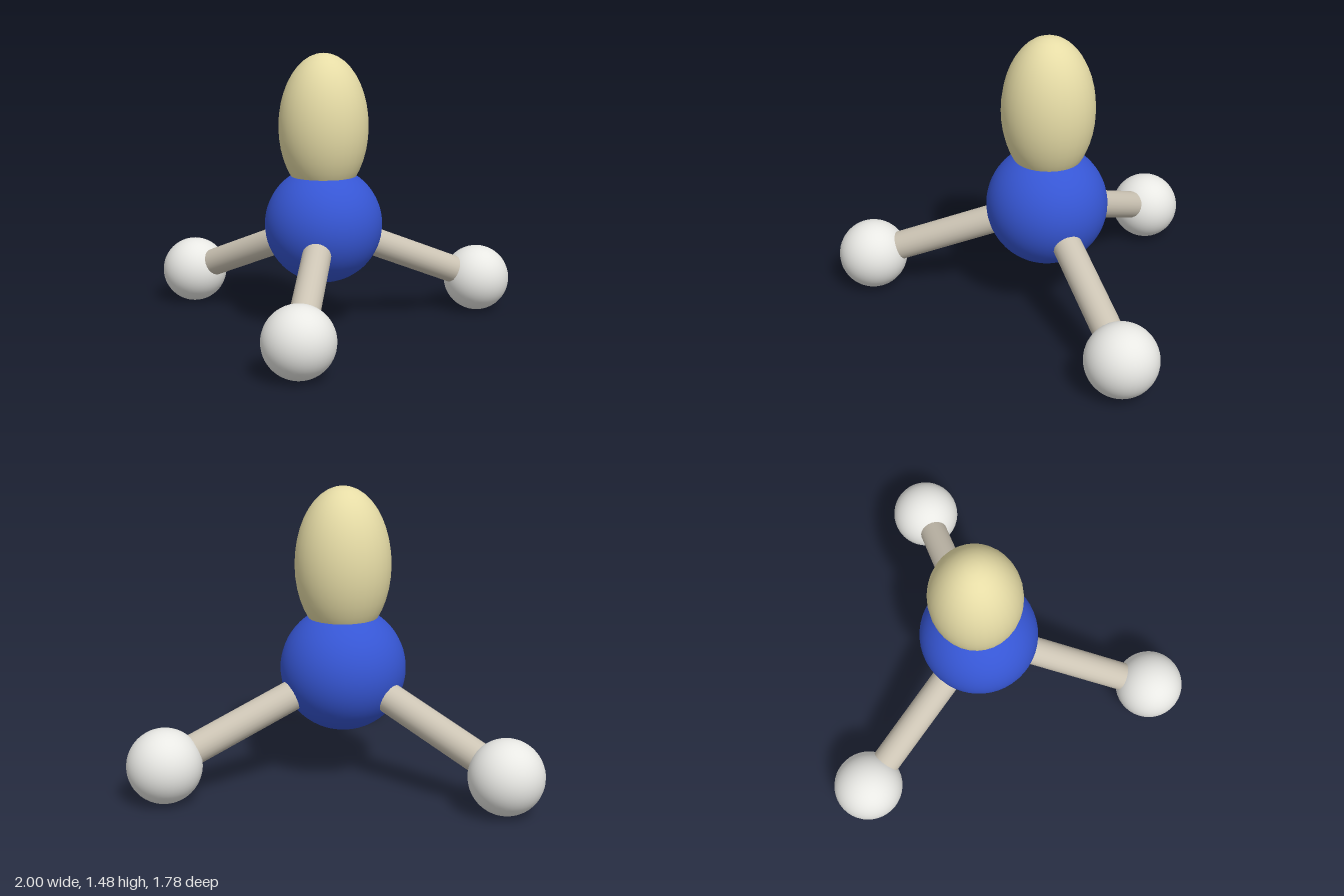
import * as THREE from 'three';

const material = (color) => new THREE.MeshStandardMaterial({ color });

export function createModel() {
  const model = new THREE.Group();
  model.name = 'pyramidalMolecule';

  const blue = material(0x3656d4);
  const white = material(0xe8e8e4);
  const beige = material(0xccc4b4);
  const cream = material(0xe6dca6);

  const add = (name, geometry, mat, position) => {
    const mesh = new THREE.Mesh(geometry, mat);
    mesh.name = name;
    mesh.position.copy(position);
    model.add(mesh);
    return mesh;
  };

  // Central atom
  const center = new THREE.Vector3(0, 0.567, -0.236);
  add('centralAtom', new THREE.SphereGeometry(0.315, 48, 32), blue, center);

  // Egg-shaped lone pair lobe rising out of the central atom
  const lobe = new THREE.SphereGeometry(1, 32, 20).scale(0.24, 0.388, 0.24);
  add('lonePairLobe', lobe, cream, new THREE.Vector3(0, 1.094, -0.236));

  // Three outer atoms with their bonds, spaced evenly around the vertical axis
  const outerGeometry = new THREE.SphereGeometry(0.183, 40, 28);
  const up = new THREE.Vector3(0, 1, 0);
  ['front', 'backLeft', 'backRight'].forEach((side, i) => {
    const angle = (i * Math.PI * 2) / 3;
    const end = new THREE.Vector3(
      0.943 * Math.sin(angle), 0.184, center.z + 0.943 * Math.cos(angle));
    add(side + 'Atom', outerGeometry, white, end);

    const along = end.clone().sub(center);
    const bond = add(side + 'Bond',
      new THREE.CylinderGeometry(0.076, 0.076, along.length(), 24), beige,
      center.clone().lerp(end, 0.5));
    bond.quaternion.setFromUnitVectors(up, along.normalize());
  });

  return model;
}
